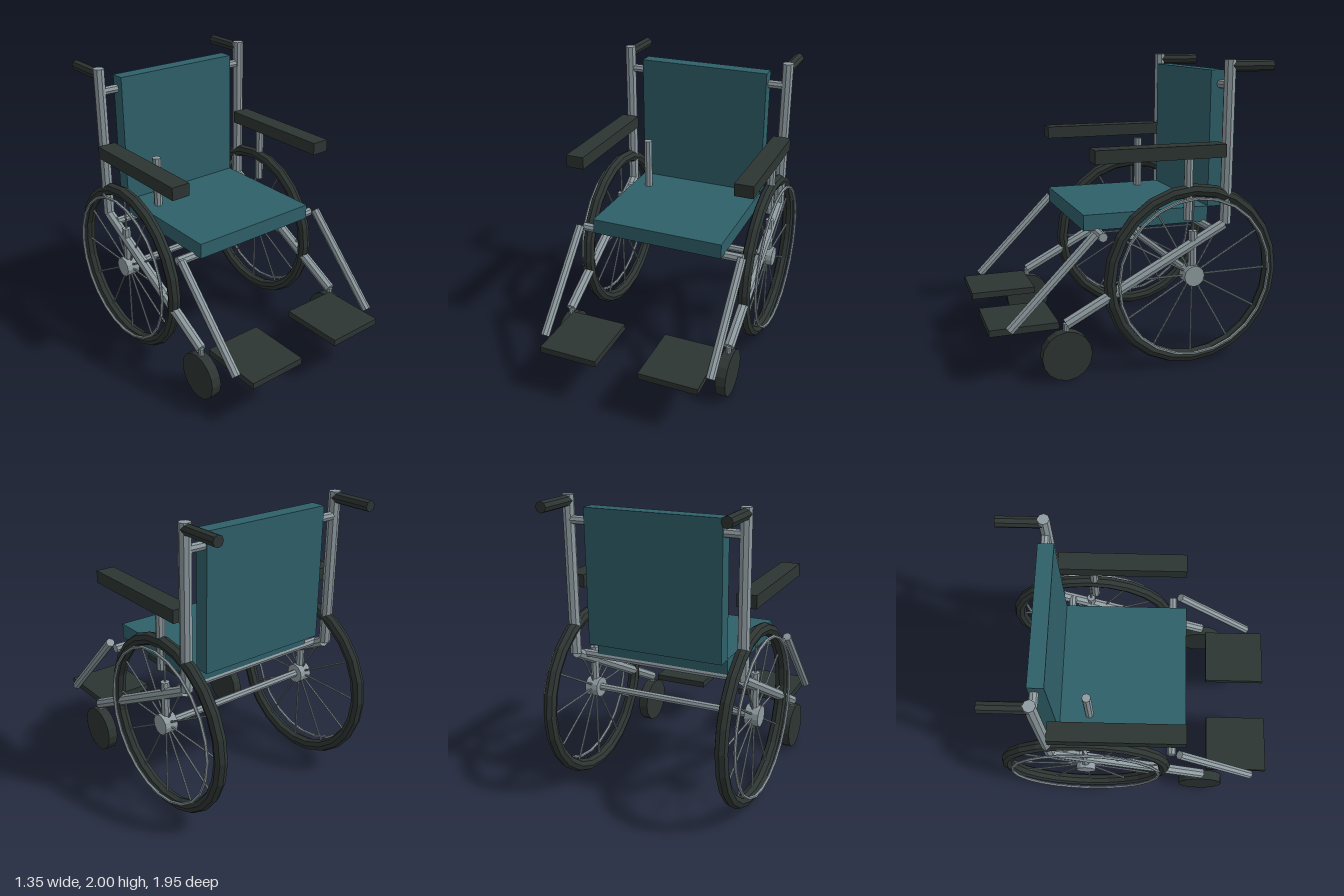
import * as THREE from 'three';

const steel = new THREE.MeshStandardMaterial({ color: 0x8f9ca1, flatShading: true });
steel.name = 'steel';
const teal = new THREE.MeshStandardMaterial({ color: 0x2f606a, flatShading: true });
teal.name = 'teal fabric';
const rubber = new THREE.MeshStandardMaterial({ color: 0x2d3533, flatShading: true });
rubber.name = 'dark rubber';

export function createModel() {
  const root = new THREE.Group();
  root.name = 'wheelchair';

  const add = (parent, name, geometry, material, x = 0, y = 0, z = 0) => {
    const mesh = new THREE.Mesh(geometry, material);
    mesh.name = name;
    mesh.position.set(x, y, z);
    parent.add(mesh);
    return mesh;
  };
  // Box given by its lower and upper corners
  const box = (parent, name, material, a, b) =>
    add(parent, name, new THREE.BoxGeometry(b[0] - a[0], b[1] - a[1], b[2] - a[2]), material,
      (a[0] + b[0]) / 2, (a[1] + b[1]) / 2, (a[2] + b[2]) / 2);
  // Straight tube between two points
  const tube = (parent, name, material, a, b, r, sides = 8) => {
    const p = new THREE.Vector3(...a), q = new THREE.Vector3(...b);
    const d = q.clone().sub(p);
    const mesh = add(parent, name, new THREE.CylinderGeometry(r, r, d.length(), sides), material);
    mesh.position.copy(p).add(q).multiplyScalar(0.5);
    mesh.quaternion.setFromUnitVectors(new THREE.Vector3(0, 1, 0), d.normalize());
    return mesh;
  };

  // Seat and backrest
  box(root, 'seat', teal, [-0.467, 0.93, -0.525], [0.467, 1.034, 0.337]);
  box(root, 'backrest', teal, [-0.467, 1.03, -0.627], [0.467, 1.93, -0.525]);

  // Cross bars: name, y, z, radius
  const bars = [
    ['backCrossBar', 1.84, -0.595, 0.029],
    ['frontSeatBar', 0.912, 0.245, 0.031],
    ['rearSeatBar', 0.912, -0.497, 0.028],
    ['axle', 0.614, -0.365, 0.026],
  ];
  for (const [name, y, z, r] of bars) tube(root, name, steel, [-0.59, y, z], [0.59, y, z], r);

  for (const s of [-1, 1]) {
    const side = new THREE.Group();
    side.name = s > 0 ? 'leftSide' : 'rightSide';
    root.add(side);
    const x = s * 0.595;

    // Frame tubes
    tube(side, 'backUpright', steel, [x, 0.942, -0.592], [x, 2, -0.592], 0.039);
    tube(side, 'pushHandle', rubber, [x, 1.96, -0.592], [x, 1.96, -0.892], 0.037);
    tube(side, 'frameTube', steel, [x, 0.37, 0.495], [x, 0.937, -0.58], 0.037);
    tube(side, 'legRestTube', steel, [x, 0.94, 0.298], [x, 0.37, 0.855], 0.031);
    tube(side, 'axleStrut', steel, [x, 0.614, -0.363], [x, 0.91, -0.363], 0.03);

    // Armrest; the right post stands further inboard on the seat
    box(side, 'armrest', rubber, [x - 0.064, 1.39, -0.557], [x + 0.064, 1.475, 0.317]);
    const postX = s > 0 ? 0.595 : -0.345;
    tube(side, 'armrestPost', steel, [postX, 0.985, -0.325], [postX, 1.39, -0.325], 0.03);

    // Footplate
    box(side, 'footplate', rubber, [s * 0.355 - 0.204, 0.328, 0.53], [s * 0.355 + 0.204, 0.372, 0.977]);

    // Front caster
    tube(side, 'casterStem', steel, [x, 0.2, 0.495], [x, 0.375, 0.495], 0.02);
    tube(side, 'casterWheel', rubber, [x - 0.035, 0.165, 0.495], [x + 0.035, 0.165, 0.495], 0.164, 16);

    // Drive wheel
    const wheel = new THREE.Group();
    wheel.name = 'driveWheel';
    wheel.position.set(x, 0.611, -0.363);
    side.add(wheel);
    add(wheel, 'tyre', new THREE.TorusGeometry(0.567, 0.043, 8, 24), rubber).rotation.y = Math.PI / 2;
    add(wheel, 'pushRim', new THREE.TorusGeometry(0.526, 0.011, 6, 24), steel, s * 0.07).rotation.y = Math.PI / 2;
    tube(wheel, 'hub', steel, [-0.047, 0, 0], [0.047, 0, 0], 0.07, 12);
    for (let i = 0; i < 12; i++) {
      const a = (i * Math.PI) / 6;
      tube(wheel, 'spoke', steel, [0, 0, 0], [0, 0.54 * Math.sin(a), 0.54 * Math.cos(a)], 0.007, 6);
    }
  }
  return root;
}
